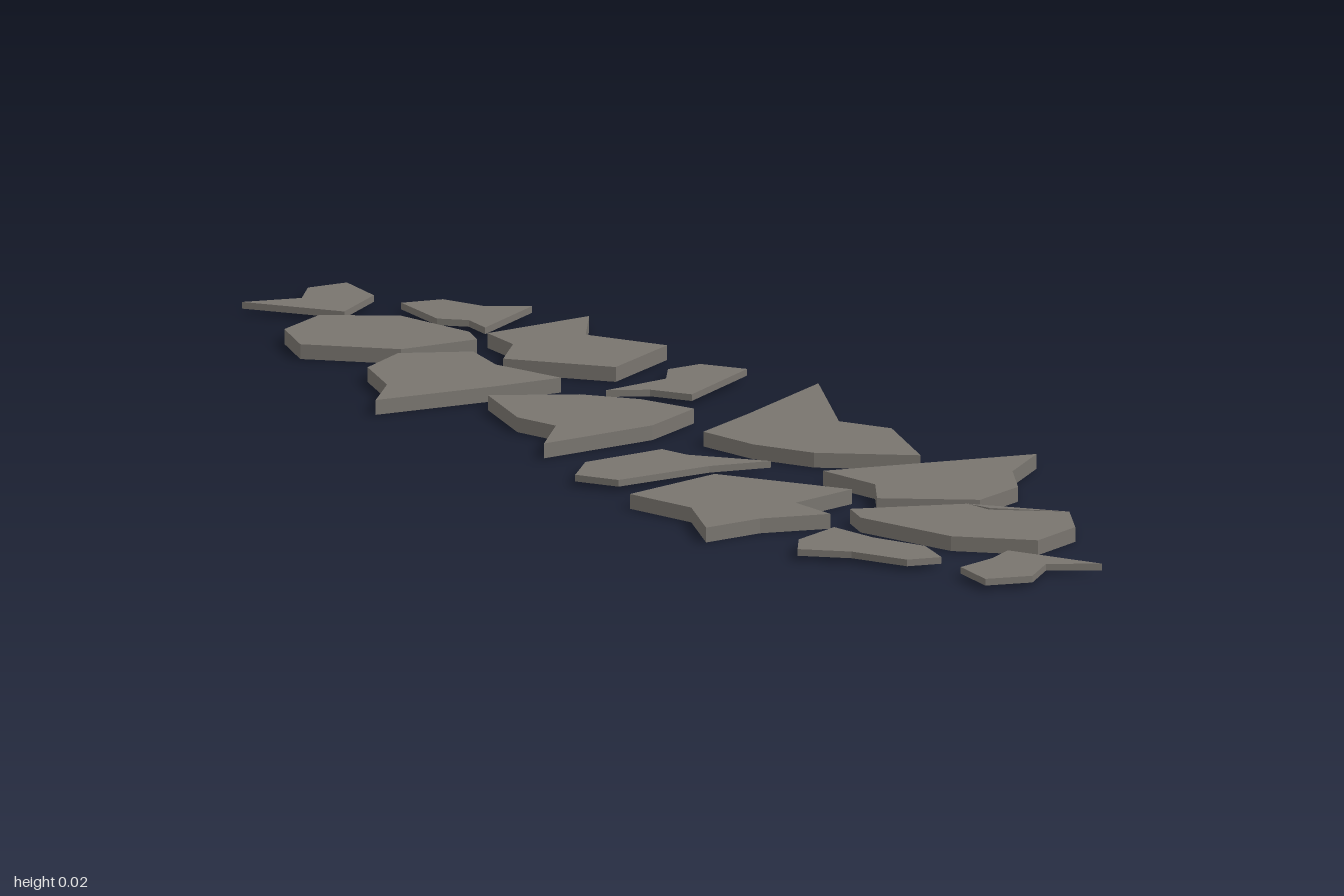
import * as THREE from 'three';

// Outlines as flat lists of x, z pairs, running from the back to the front.
const LARGE = [
  [-.066, -.83, .024, -.77, .05, -.64, .035, -.595, -.082, -.595, -.18, -.69, -.15, -.78],
  [.066, -.62, .235, -.64, .172, -.545, .23, -.434, .103, -.355, .003, -.476, .06, -.545],
  [-.098, -.577, -.008, -.534, -.024, -.45, .008, -.337, -.093, -.337, -.272, -.347, -.21, -.42, -.177, -.524],
  [-.13, -.296, -.024, -.238, .03, -.17, .06, -.085, -.04, -.026, -.22, -.005, -.15, -.09, -.167, -.16],
  [.28, -.132, .183, .08, .22, .153, .167, .314, .055, .228, .013, .143, -.003, .042, .103, -.02],
  [-.283, .317, -.124, .27, -.018, .444, -.124, .476, -.12, .558, -.214, .534, -.304, .545, -.257, .43],
  [.008, .328, .302, .386, .22, .46, .177, .545, .093, .587, -.018, .508, .024, .434],
  [-.082, .545, .066, .598, .156, .71, .114, .794, .03, .838, -.055, .757, -.098, .598],
];
const SMALL = [
  [-.1, -.97, -.02, -.95, .02, -1, .08, -1, .07, -.915, -.015, -.85],
  [.077, -.857, .135, -.847, .16, -.783, .214, -.75, .093, -.67, .098, -.72, .067, -.75],
  [.03, -.26, .135, -.28, .167, -.328, .22, -.333, .257, -.275, .114, -.18, .082, -.233],
  [-.22, .1, -.093, .085, -.082, .132, -.008, .222, -.093, .206, -.24, .217, -.272, .16],
  [-.146, .61, -.135, .69, -.103, .77, -.12, .84, -.167, .83, -.204, .75, -.257, .7, -.225, .65],
  [-.024, .85, .04, .984, -.024, .947, -.077, 1, -.14, .984, -.13, .905, -.066, .88],
];
// Lifted flakes on two stones: edge start, edge end, raised inner tip
const FLAKES = [
  [-.082, -.595, -.18, -.69, -.083, -.655],
  [.066, .598, .156, .71, .072, .645],
];

function slab(outline, bottom, top) {
  const points = [];
  for (let i = 0; i < outline.length; i += 2) points.push(new THREE.Vector2(outline[i], -outline[i + 1]));
  const geometry = new THREE.ExtrudeGeometry(new THREE.Shape(points), { depth: top - bottom, bevelEnabled: false });
  return geometry.rotateX(-Math.PI / 2).translate(0, bottom, 0);
}

// Thin wedge: flush along the stone's rim, raised at its inner tip
function flake([ax, az, bx, bz, cx, cz]) {
  const a = [ax, .0201, az], b = [bx, .0201, bz], tip = [cx, .0225, cz], foot = [cx, .0201, cz];
  const geometry = new THREE.BufferGeometry();
  const corners = [a, tip, b, a, foot, tip, b, tip, foot];
  geometry.setAttribute('position', new THREE.Float32BufferAttribute(corners.flat(), 3));
  geometry.computeVertexNormals();
  return geometry;
}

export function createModel() {
  const model = new THREE.Group();
  model.name = 'steppingStonePath';
  const stone = new THREE.MeshStandardMaterial({ color: 0x78746e });
  stone.name = 'grey stone';
  stone.side = THREE.DoubleSide;

  const add = (name, geometry) => {
    const mesh = new THREE.Mesh(geometry, stone);
    mesh.name = name;
    model.add(mesh);
  };
  LARGE.forEach((o, i) => add(`largeStone${i + 1}`, slab(o, 0, .02)));
  SMALL.forEach((o, i) => add(`smallStone${i + 1}`, slab(o, .006, .015)));
  FLAKES.forEach((f, i) => add(`stoneFlake${i + 1}`, flake(f)));
  return model;
}
